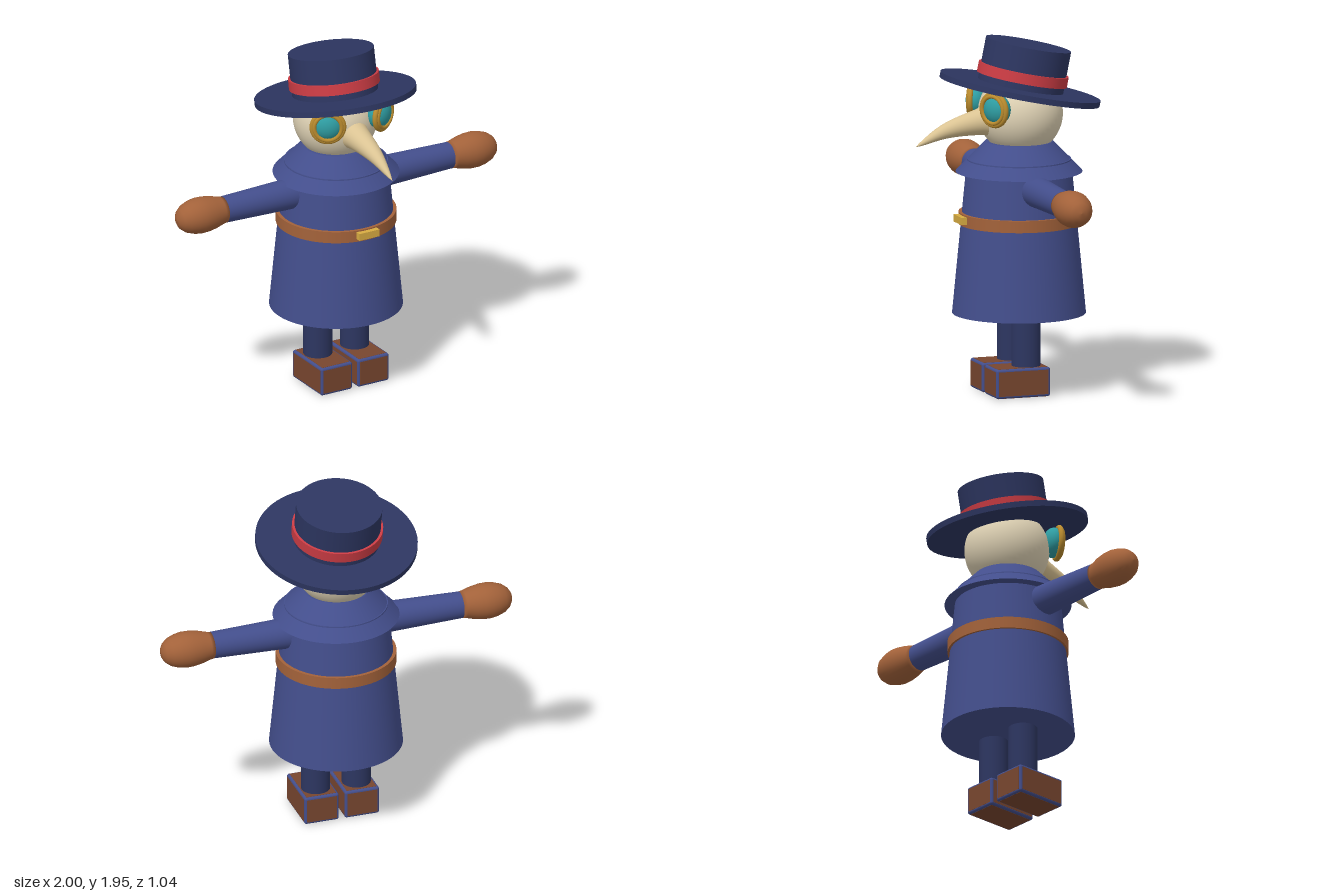
import * as THREE from 'three';
import { RoundedBoxGeometry } from 'three/addons/geometries/RoundedBoxGeometry.js';

const material = (name, color, side = THREE.FrontSide) => {
  const m = new THREE.MeshStandardMaterial({ color, side });
  m.name = name;
  return m;
};

// Tapering tube with cross-sections along a curve that bends in the yz plane
function hornGeometry(curve, radiusAt, rings, sides) {
  const positions = [], indices = [];
  for (let i = 0; i <= rings; i++) {
    const t = i / rings, p = curve.getPoint(t), d = curve.getTangent(t), r = radiusAt(t);
    for (let j = 0; j < sides; j++) {
      const a = (j / sides) * Math.PI * 2, s = r * Math.sin(a);
      positions.push(p.x + r * Math.cos(a), p.y + s * d.z, p.z - s * d.y);
      if (i < rings) {
        const k = i * sides + j, n = i * sides + ((j + 1) % sides);
        indices.push(k, n, n + sides, k, n + sides, k + sides);
      }
    }
  }
  const g = new THREE.BufferGeometry();
  g.setAttribute('position', new THREE.Float32BufferAttribute(positions, 3));
  g.setIndex(indices);
  g.computeVertexNormals();
  return g;
}

export function createModel() {
  const coatBlue = material('coat blue', 0x434e8c);
  const navy = material('dark navy', 0x2d3661);
  const red = material('hat band red', 0xcc3c44);
  const leather = material('leather brown', 0xa3623a);
  const bootBrown = material('boot brown', 0x78462f);
  const gold = material('goggle gold', 0xba8b2e);
  const brass = material('buckle yellow', 0xd8ac42);
  const teal = material('lens teal', 0x2f9ea3);
  const bone = material('mask cream', 0xe0d3b5);
  const horn = material('beak tan', 0xdac393, THREE.DoubleSide);

  const model = new THREE.Group();
  model.name = 'maskedDoctor';
  const bodyZ = -0.077;

  const add = (parent, name, geometry, mat, x = 0, y = 0, z = 0) => {
    const mesh = new THREE.Mesh(geometry, mat);
    mesh.name = name;
    mesh.position.set(x, y, z);
    parent.add(mesh);
    return mesh;
  };
  // Upright cylinder or cone frustum between two heights
  const drum = (parent, name, rTop, rBottom, y0, y1, mat, x = 0, z = 0) =>
    add(parent, name, new THREE.CylinderGeometry(rTop, rBottom, y1 - y0, 64), mat, x, (y0 + y1) / 2, z);

  // Coat, cape and belt
  drum(model, 'coat', 0.281, 0.362, 0.435, 1.28, coatBlue, 0, bodyZ);
  drum(model, 'cape', 0.183, 0.343, 1.21, 1.375, coatBlue, 0, bodyZ);
  drum(model, 'belt', 0.327, 0.327, 0.925, 0.99, leather, 0, bodyZ);
  add(model, 'buckle', new THREE.BoxGeometry(0.126, 0.04, 0.05), brass, 0, 0.963, 0.252);

  // Head
  add(model, 'head', new THREE.SphereGeometry(0.23, 48, 32), bone, 0, 1.53, -0.085);

  // Curved beak
  const beakPath = new THREE.CatmullRomCurve3([
    new THREE.Vector3(0, 1.5, 0.06),
    new THREE.Vector3(0, 1.492, 0.15),
    new THREE.Vector3(0, 1.453, 0.343),
    new THREE.Vector3(0, 1.375, 0.518),
  ]);
  const beakRadius = (t) => 0.1 * Math.pow(1 - t, 0.8);
  add(model, 'beak', hornGeometry(beakPath, beakRadius, 20, 32), horn);

  // Tilted hat: brim, crown and band
  const hat = new THREE.Group();
  hat.name = 'hat';
  hat.position.set(0, 1.66, -0.083);
  hat.rotation.x = -0.2;
  model.add(hat);
  drum(hat, 'brim', 0.44, 0.44, -0.016, 0.016, navy);
  drum(hat, 'crown', 0.234, 0.234, 0, 0.247, navy);
  drum(hat, 'hatBand', 0.247, 0.247, 0.052, 0.11, red);

  // Sleeve and glove profiles, running outwards along the arm
  const glovePoints = [
    [0, 0.71], [0.073, 0.71], [0.076, 0.73], [0.09, 0.78], [0.098, 0.83], [0.099, 0.87],
    [0.092, 0.91], [0.078, 0.95], [0.055, 0.98], [0.03, 0.995], [0, 1],
  ].map(([r, y]) => new THREE.Vector2(r, y));
  const gloveGeometry = new THREE.LatheGeometry(glovePoints, 32);
  const lensGeometry = new THREE.SphereGeometry(0.083, 32, 24);
  lensGeometry.scale(1, 1, 0.72);

  for (const side of [1, -1]) {
    const label = side > 0 ? 'left' : 'right';

    // Outstretched arm
    const arm = new THREE.Group();
    arm.name = label + 'Arm';
    arm.position.set(0, 1.141, bodyZ);
    arm.rotation.z = -side * Math.PI / 2;
    model.add(arm);
    drum(arm, label + 'Sleeve', 0.0725, 0.087, 0.2, 0.715, coatBlue);
    add(arm, label + 'Glove', gloveGeometry, leather);

    // Goggle turned outwards, with a double rim
    const goggle = new THREE.Group();
    goggle.name = label + 'Goggle';
    goggle.position.set(side * 0.174, 1.585, 0.129);
    goggle.rotation.y = side * 0.5;
    model.add(goggle);
    add(goggle, label + 'OuterRim', new THREE.TorusGeometry(0.085, 0.015, 16, 48), gold);
    add(goggle, label + 'InnerRim', new THREE.TorusGeometry(0.074, 0.011, 16, 48), gold, 0, 0, 0.012);
    add(goggle, label + 'Lens', lensGeometry, teal, 0, 0, -0.025);

    // Leg
    drum(model, label + 'Leg', 0.079, 0.079, 0.1, 0.5, navy, side * 0.116, -0.075);

    // Boot: blue rounded edges with brown panels on every face
    const boot = new THREE.Group();
    boot.name = label + 'Boot';
    boot.position.set(side * 0.115, 0.082, -0.027);
    model.add(boot);
    const [w, h, d, b, lift] = [0.196, 0.16, 0.31, 0.013, 0.002];
    add(boot, label + 'BootEdges', new RoundedBoxGeometry(w, h, d, 3, b), coatBlue);
    add(boot, label + 'BootSides', new THREE.BoxGeometry(w + lift, h - 2 * b, d - 2 * b), bootBrown);
    add(boot, label + 'BootTopAndSole', new THREE.BoxGeometry(w - 2 * b, h + lift, d - 2 * b), bootBrown);
    add(boot, label + 'BootToeAndHeel', new THREE.BoxGeometry(w - 2 * b, h - 2 * b, d + lift), bootBrown);
  }
  return model;
}
